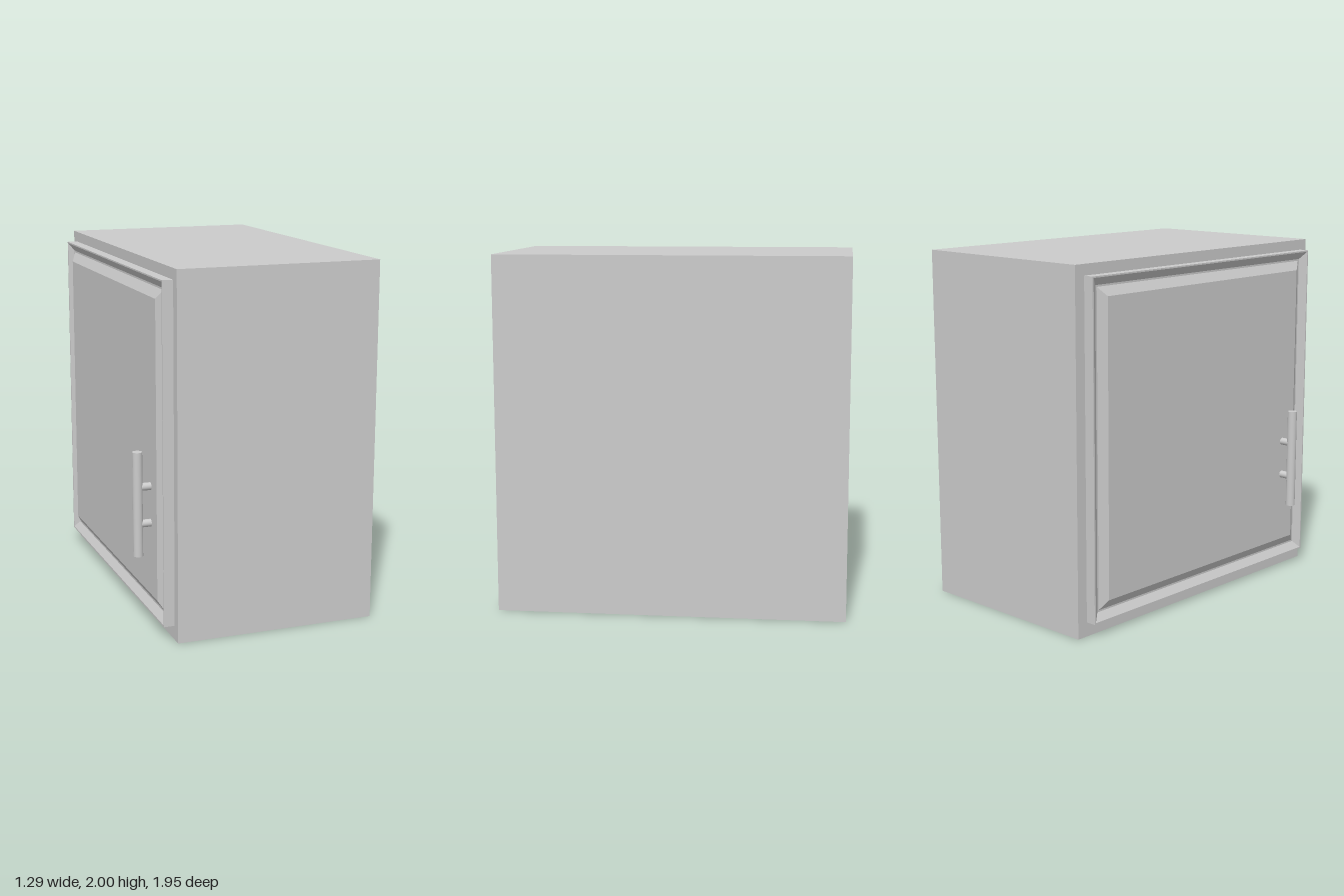
import * as THREE from 'three';

const material = new THREE.MeshStandardMaterial({ color: 0xcccccc });

function addMesh(parent, name, geometry, x, y, z) {
  const mesh = new THREE.Mesh(geometry, material);
  mesh.name = name;
  mesh.position.set(x, y, z);
  parent.add(mesh);
  return mesh;
}

// Rectangular panel facing -x, stacked from rings of [inset, projection]
function profiledPanel(width, height, profile) {
  const rings = profile.map(([inset, out]) => {
    const w = width / 2 - inset, h = height / 2 - inset;
    return [[-1, -1], [1, -1], [1, 1], [-1, 1]].map(([sz, sy]) => [-out, sy * h, sz * w]);
  });
  const points = [];
  for (let i = 0; i < rings.length - 1; i++) {
    for (let k = 0; k < 4; k++) {
      const n = (k + 1) % 4;
      const a = rings[i][k], b = rings[i][n], c = rings[i + 1][n], d = rings[i + 1][k];
      points.push(...a, ...b, ...c, ...a, ...c, ...d);
    }
  }
  const [a, b, c, d] = rings[rings.length - 1];
  points.push(...a, ...b, ...c, ...a, ...c, ...d);
  const geometry = new THREE.BufferGeometry();
  geometry.setAttribute('position', new THREE.Float32BufferAttribute(points, 3));
  geometry.computeVertexNormals();
  return geometry;
}

export function createModel() {
  const cabinet = new THREE.Group();
  cabinet.name = 'cabinet';

  // Carcass
  addMesh(cabinet, 'body', new THREE.BoxGeometry(1.135, 2, 1.95), 0.0785, 1, 0);

  // Door with a bevelled groove around a raised centre panel
  const profile = [[0, 0], [0, 0.06], [0.008, 0.06], [0.05, 0.03], [0.06, 0.03], [0.11, 0.06]];
  addMesh(cabinet, 'door', profiledPanel(1.83, 1.86, profile), -0.489, 1.01, 0.005);

  // Bar handle on two posts
  const handle = new THREE.Group();
  handle.name = 'handle';
  cabinet.add(handle);
  addMesh(handle, 'handleBar', new THREE.CylinderGeometry(0.027, 0.027, 0.58, 32), -0.621, 0.71, 0.705);
  for (const y of [0.6, 0.805]) {
    const post = addMesh(handle, 'handlePost', new THREE.CylinderGeometry(0.021, 0.021, 0.07, 24), -0.58, y, 0.705);
    post.rotation.z = Math.PI / 2;
  }
  return cabinet;
}
